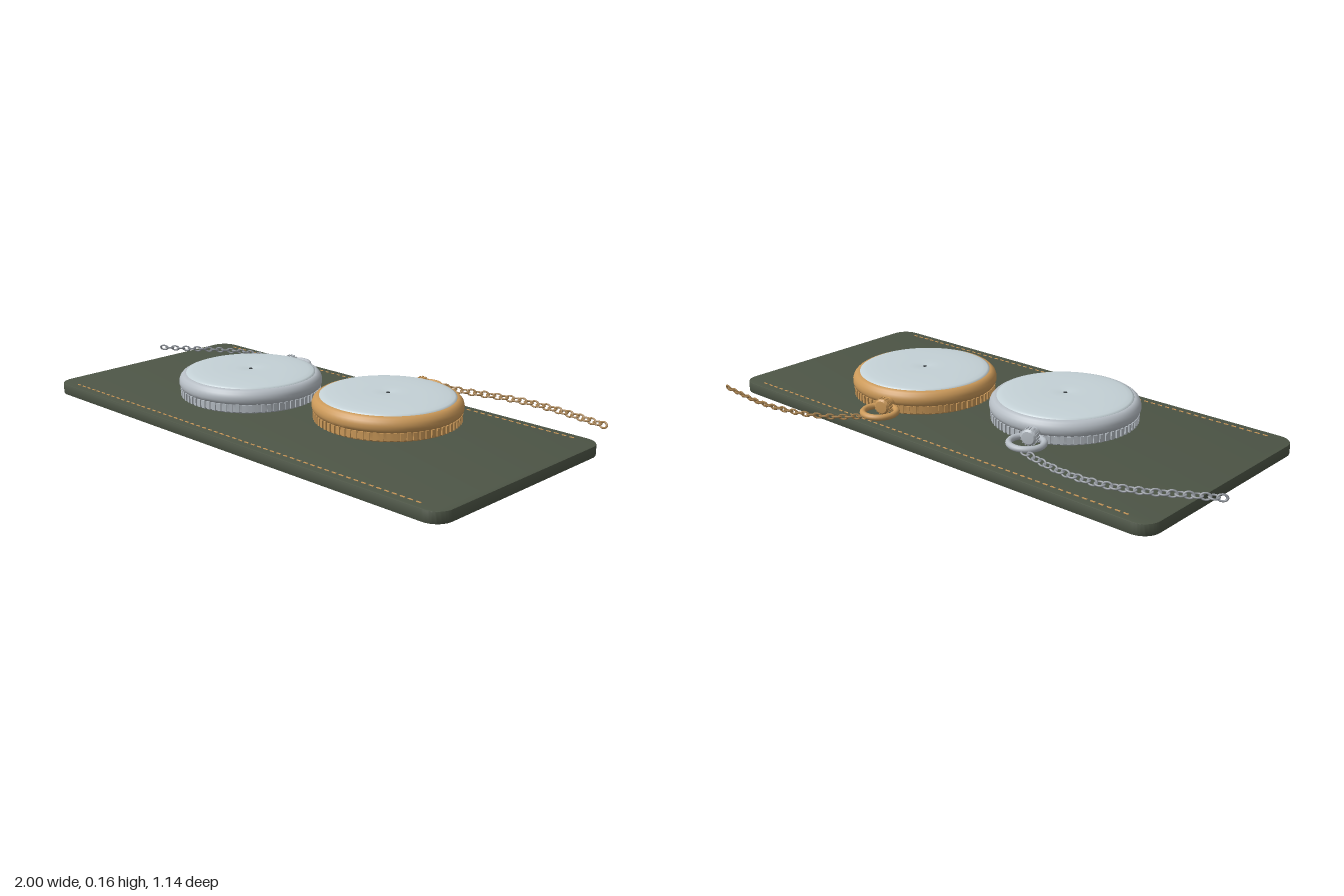
import * as THREE from 'three';
import { mergeGeometries, toCreasedNormals } from 'three/addons/utils/BufferGeometryUtils.js';

const material = (name, color) => {
  const m = new THREE.MeshStandardMaterial({ color });
  m.name = name;
  return m;
};
const v2 = ([x, y]) => new THREE.Vector2(x, y);

function part(name, geometry, mat) {
  const mesh = new THREE.Mesh(geometry, mat);
  mesh.name = name;
  return mesh;
}

// Rounded slab lying flat, with a line of stitches near each long edge
function createMat(leather, thread) {
  const group = new THREE.Group();
  group.name = 'displayMat';
  const w = 0.953, d = 0.438, r = 0.06, bevel = 0.004;
  const a = w - bevel, b = d - bevel;
  const shape = new THREE.Shape();
  shape.absarc(a - r, b - r, r, 0, Math.PI / 2);
  shape.absarc(-a + r, b - r, r, Math.PI / 2, Math.PI);
  shape.absarc(-a + r, -b + r, r, Math.PI, Math.PI * 1.5);
  shape.absarc(a - r, -b + r, r, Math.PI * 1.5, Math.PI * 2);
  const slab = new THREE.ExtrudeGeometry(shape, {
    depth: 0.041 - 2 * bevel, bevelEnabled: true, bevelSize: bevel,
    bevelThickness: bevel, bevelSegments: 2, curveSegments: 10,
  });
  slab.translate(0, 0, bevel).rotateX(-Math.PI / 2);
  group.add(part('leatherSlab', toCreasedNormals(slab, 0.6), leather));

  const stitches = [];
  const count = 56;
  for (const z of [-0.404, 0.404]) {
    for (let i = 0; i < count; i++) {
      const x = -0.85 + (1.7 * i) / (count - 1);
      stitches.push(new THREE.BoxGeometry(0.018, 0.003, 0.005).translate(x, 0.0415, z));
    }
  }
  group.add(part('stitching', mergeGeometries(stitches), thread));
  group.rotation.y = -0.153;
  return group;
}

// Round case with ribbed band, glass, crown and bow; the crown points to -z
function createWatch(name, metal, glass, dark) {
  const group = new THREE.Group();
  group.name = name;

  const profile = [
    [0, 0.052], [0.2, 0.052], [0.235, 0.054], [0.25, 0.058], [0.256, 0.064],
    [0.256, 0.091], [0.262, 0.096], [0.266, 0.106], [0.266, 0.118], [0.262, 0.13],
    [0.254, 0.139], [0.246, 0.144], [0.24, 0.144], [0.238, 0.138],
  ].map(v2);
  group.add(part('case', toCreasedNormals(new THREE.LatheGeometry(profile, 72), 0.7), metal));

  const ribs = [];
  const ribCount = 72;
  for (let i = 0; i < ribCount; i++) {
    ribs.push(new THREE.BoxGeometry(0.012, 0.028, 0.012)
      .translate(0.256, 0.078, 0).rotateY((i / ribCount) * Math.PI * 2));
  }
  group.add(part('ribbedBand', mergeGeometries(ribs), metal));

  // Low dome with a slight dip in the middle
  const dome = [
    [0.24, 0.14], [0.24, 0.145], [0.232, 0.149], [0.215, 0.152], [0.18, 0.155],
    [0.13, 0.157], [0.06, 0.1575], [0.025, 0.156], [0, 0.152],
  ].map(v2);
  group.add(part('glass', new THREE.LatheGeometry(dome, 72), glass));
  const pin = new THREE.CylinderGeometry(0.007, 0.007, 0.006, 12).translate(0, 0.1515, 0);
  group.add(part('centrePin', pin, dark));

  // Neck and knurled crown
  const neck = new THREE.CylinderGeometry(0.018, 0.022, 0.05, 20)
    .rotateX(-Math.PI / 2).translate(0, 0.1, -0.275);
  group.add(part('neck', neck, metal));
  const crownProfile = [
    [0, 0], [0.022, 0], [0.028, 0.006], [0.028, 0.03], [0.022, 0.037], [0, 0.039],
  ].map(v2);
  const crown = new THREE.LatheGeometry(crownProfile, 24)
    .rotateX(-Math.PI / 2).translate(0, 0.102, -0.288);
  group.add(part('crown', toCreasedNormals(crown, 0.6), metal));
  const knurls = [];
  for (let i = 0; i < 16; i++) {
    knurls.push(new THREE.BoxGeometry(0.005, 0.005, 0.024)
      .translate(0.028, 0, 0).rotateZ((i / 16) * Math.PI * 2).translate(0, 0.102, -0.306));
  }
  group.add(part('crownKnurling', mergeGeometries(knurls), metal));

  const bow = new THREE.TorusGeometry(0.059, 0.011, 12, 40)
    .rotateX(Math.PI / 2).translate(0, 0.09, -0.333);
  group.add(part('bow', bow, metal));
  return group;
}

// Oval links along a curve, each turned a quarter from the last
function createChain(name, points, metal) {
  const curve = new THREE.CatmullRomCurve3(points.map((p) => new THREE.Vector3(...p)));
  const count = 28;
  const up = new THREE.Vector3(0, 1, 0);
  const links = [];
  for (let i = 0; i < count; i++) {
    const t = (i + 0.5) / count;
    const along = curve.getTangentAt(t);
    const side = new THREE.Vector3().crossVectors(up, along).normalize();
    const normal = new THREE.Vector3().crossVectors(along, side);
    const frame = new THREE.Matrix4().makeBasis(along, side, normal).setPosition(curve.getPointAt(t));
    links.push(new THREE.TorusGeometry(0.0105, 0.0033, 6, 16)
      .scale(1.45, 1, 1)
      .rotateX(i % 2 ? Math.PI / 2 - 0.35 : 0.3)
      .applyMatrix4(frame));
  }
  return part(name, mergeGeometries(links), metal);
}

export function createModel() {
  const leather = material('green leather', 0x4d5546);
  const gold = material('gold', 0xcb9959);
  const silver = material('silver', 0xb6bdc4);
  const glass = material('pale glass', 0xc4d1d6);
  const dark = material('dark steel', 0x3c4246);
  const oldGold = material('chain gold', 0xa5804f);
  const oldSilver = material('chain silver', 0x8f949b);

  const model = new THREE.Group();
  model.name = 'pocketWatchesOnMat';
  model.add(createMat(leather, gold));

  const silverWatch = createWatch('silverWatch', silver, glass, dark);
  silverWatch.position.set(-0.263, 0, 0.004);
  const goldWatch = createWatch('goldWatch', gold, glass, dark);
  goldWatch.position.set(0.315, 0, -0.035);
  for (const watch of [silverWatch, goldWatch]) {
    watch.rotation.y = 0.137;
    model.add(watch);
  }

  model.add(createChain('silverChain', [
    [-0.33, 0.085, -0.385], [-0.42, 0.072, -0.405], [-0.52, 0.066, -0.425], [-0.63, 0.064, -0.43],
    [-0.75, 0.061, -0.405], [-0.87, 0.059, -0.355], [-0.998, 0.057, -0.3],
  ], oldSilver));
  model.add(createChain('goldChain', [
    [0.29, 0.085, -0.415], [0.38, 0.072, -0.443], [0.48, 0.066, -0.47], [0.6, 0.064, -0.482],
    [0.73, 0.061, -0.472], [0.84, 0.059, -0.445], [0.965, 0.057, -0.41],
  ], oldGold));
  return model;
}
